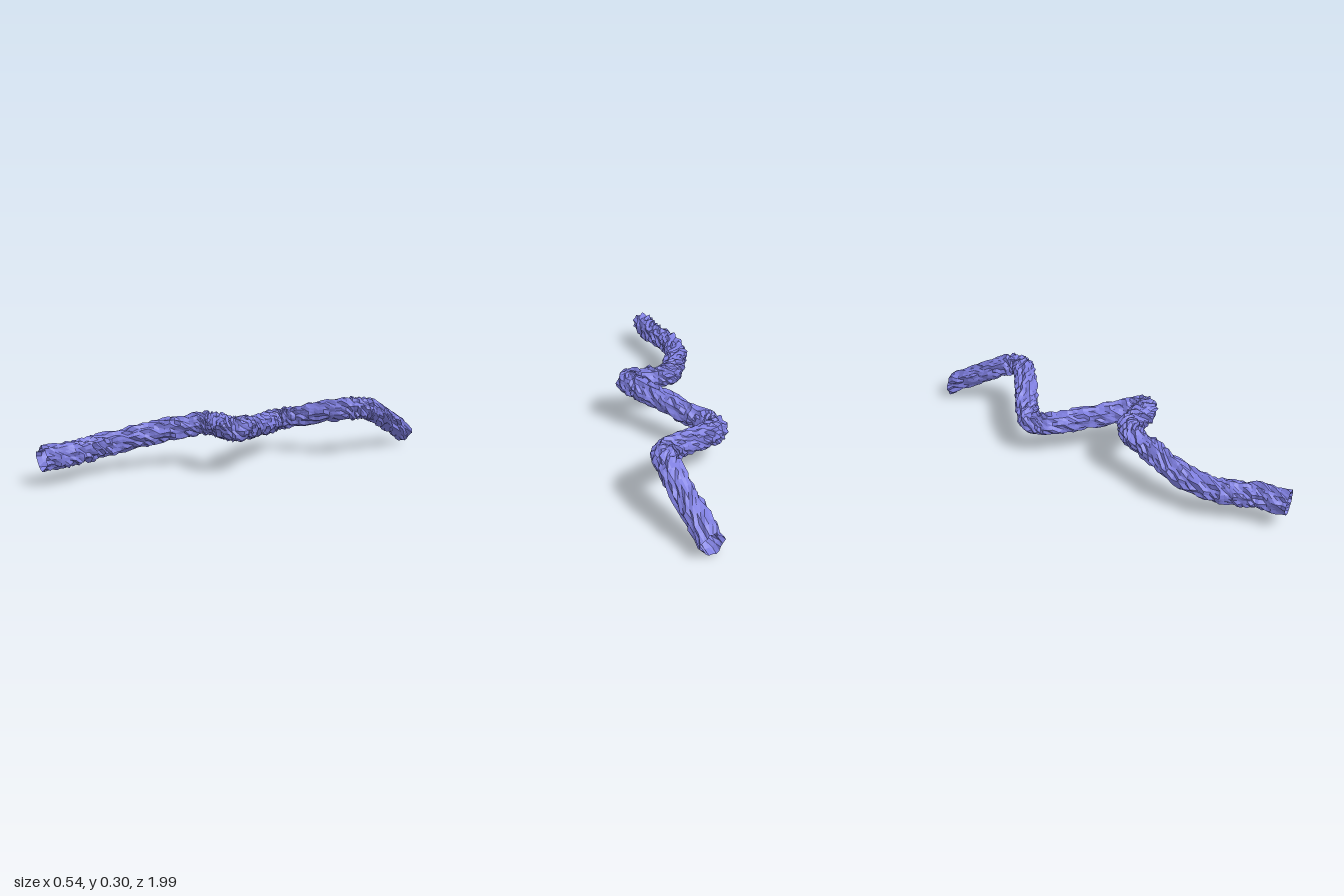
import * as THREE from 'three';

const SIDES = 20, RINGS = 130, RADIUS = 0.054, ROUGH = 0.011;

// Small seeded generator for the rough rock surface, range -1..1
function seeded(seed) {
  return () => {
    seed = (seed * 1664525 + 1013904223) >>> 0;
    return seed / 2147483648 - 1;
  };
}

// Centre line of the passage, from the front mouth to the back mouth
const path = new THREE.CatmullRomCurve3([
  [-0.155, 0.115, 1.0], [-0.16, 0.115, 0.87], [-0.195, 0.118, 0.76],
  [-0.218, 0.125, 0.65], [-0.195, 0.148, 0.48], [-0.14, 0.175, 0.34],
  [-0.085, 0.195, 0.22], [-0.045, 0.2, 0.175], [0.04, 0.2, 0.175],
  [0.135, 0.2, 0.185], [0.16, 0.2, 0.16], [0.12, 0.19, 0.1], [0.045, 0.175, 0],
  [-0.04, 0.157, -0.13], [-0.12, 0.147, -0.25], [-0.135, 0.151, -0.31],
  [-0.085, 0.165, -0.365], [0.04, 0.198, -0.445], [0.17, 0.228, -0.53],
  [0.2, 0.232, -0.575], [0.195, 0.215, -0.65], [0.165, 0.145, -0.8],
  [0.122, 0.05, -0.98],
].map(p => new THREE.Vector3(...p)));

// Rough tube: upright rings across the path, each corner pushed in or out
function tunnelGeometry() {
  const rand = seeded(7), up = new THREE.Vector3(0, 1, 0);
  const positions = [], index = [];
  for (let i = 0; i <= RINGS; i++) {
    const t = i / RINGS;
    const centre = path.getPoint(t);
    const along = path.getTangent(t).setY(0).normalize();
    if (i === 0) along.set(0, 0, -1);
    const across = new THREE.Vector3().crossVectors(along, up);
    for (let j = 0; j < SIDES; j++) {
      const a = (j / SIDES) * Math.PI * 2;
      const r = RADIUS + ROUGH * rand();
      const p = centre.clone()
        .addScaledVector(across, Math.cos(a) * r)
        .addScaledVector(up, Math.sin(a) * r);
      positions.push(p.x, p.y, p.z);
      if (i === RINGS) continue;
      const k = (j + 1) % SIDES, b = i * SIDES, c = b + SIDES;
      index.push(b + j, b + k, c + j, b + k, c + k, c + j);
    }
  }
  const geometry = new THREE.BufferGeometry();
  geometry.setAttribute('position', new THREE.Float32BufferAttribute(positions, 3));
  geometry.setIndex(index);

  // Stand it on the ground
  geometry.computeBoundingBox();
  geometry.translate(0, -geometry.boundingBox.min.y, 0);
  geometry.computeVertexNormals();
  return geometry;
}

export function createModel() {
  const group = new THREE.Group();
  group.name = 'caveTunnel';
  const rock = new THREE.MeshStandardMaterial({
    color: 0x7f7fe0, flatShading: true, side: THREE.DoubleSide,
  });
  const walls = new THREE.Mesh(tunnelGeometry(), rock);
  walls.name = 'tunnelWalls';
  group.add(walls);
  return group;
}
